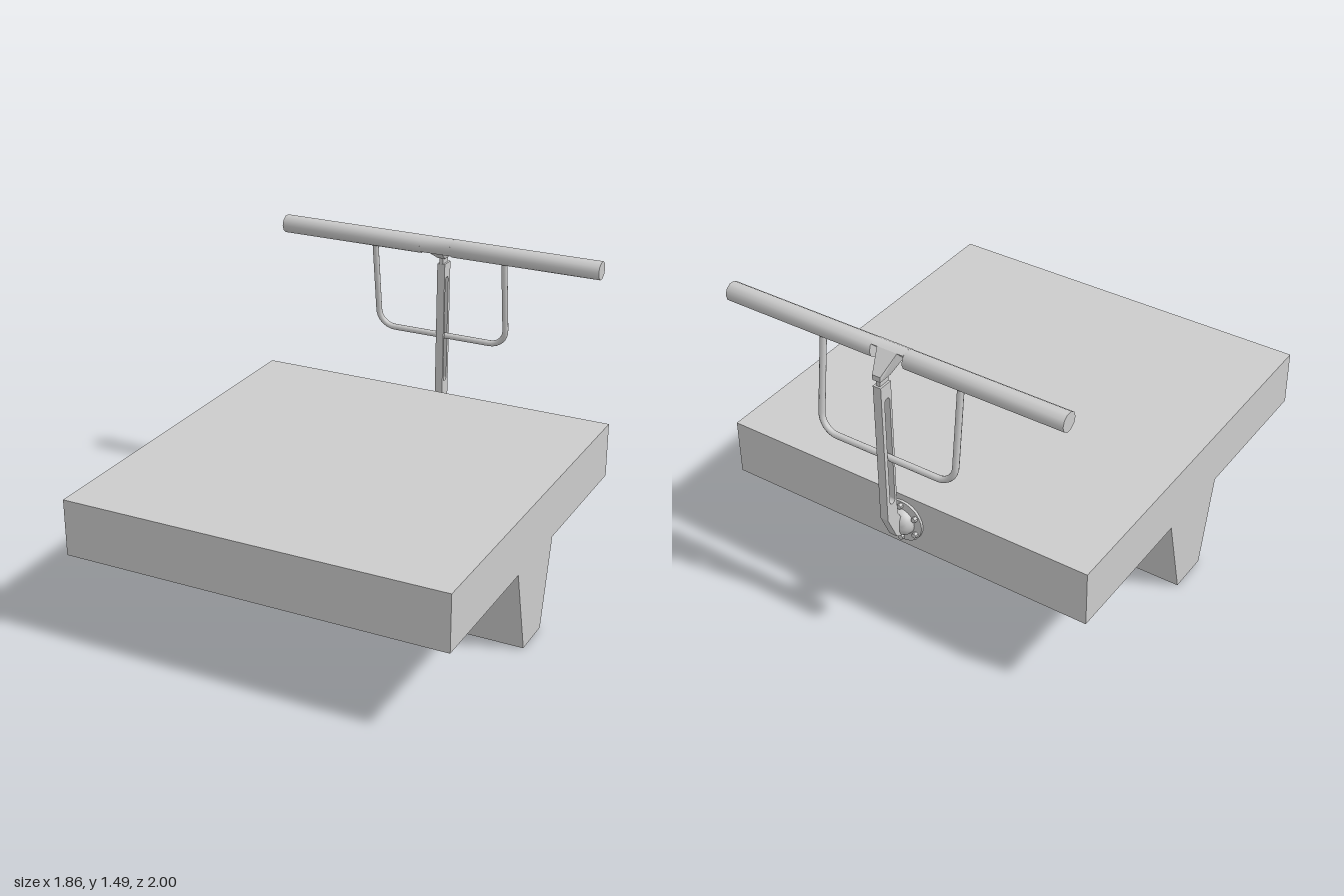
import * as THREE from 'three';
import { toCreasedNormals } from 'three/addons/utils/BufferGeometryUtils.js';
import { ConvexGeometry } from 'three/addons/geometries/ConvexGeometry.js';

const material = new THREE.MeshStandardMaterial({ color: 0xcccccc });

function add(parent, name, geometry, x = 0, y = 0, z = 0) {
  const mesh = new THREE.Mesh(geometry, material);
  mesh.name = name;
  mesh.position.set(x, y, z);
  parent.add(mesh);
  return mesh;
}

const points = (list) => list.map(([a, b]) => new THREE.Vector2(a, b));

// Extrudes a side profile of [z, y] points along x, centred on x = 0
function sideExtrude(profile, width, holes = []) {
  const shape = new THREE.Shape(points(profile));
  shape.holes.push(...holes);
  const geometry = new THREE.ExtrudeGeometry(shape, { depth: width, bevelEnabled: false, curveSegments: 6 });
  return geometry.translate(0, 0, -width / 2).rotateY(-Math.PI / 2);
}

export function createModel() {
  const model = new THREE.Group();
  model.name = 'mountedHandle';

  // T-shaped base: slab with a tapering rib underneath
  add(model, 'slabWithRib', sideExtrude([
    [1, 0.422], [1, 0.695], [-0.868, 0.695], [-0.868, 0.422],
    [-0.14, 0.422], [-0.035, 0], [0.168, 0], [0.272, 0.422],
  ], 1.86));

  // Round mounting flange with a domed hub, facing backwards
  const mount = new THREE.Group();
  mount.name = 'flangeMount';
  mount.position.set(0, 0.56, -0.866);
  model.add(mount);
  const flange = new THREE.LatheGeometry(points([
    [0, 0], [0.105, 0], [0.105, 0.014], [0.068, 0.016],
    [0.064, 0.032], [0.053, 0.048], [0.035, 0.058], [0, 0.062],
  ]), 24).rotateX(-Math.PI / 2);
  add(mount, 'flange', toCreasedNormals(flange, 0.6));
  for (let i = 0; i < 6; i++) {
    const a = (i + 0.5) * Math.PI / 3;
    const bolt = new THREE.CylinderGeometry(0.013, 0.013, 0.018, 6).rotateX(Math.PI / 2);
    add(mount, 'flangeBolt', toCreasedNormals(bolt, 0.5), 0.086 * Math.cos(a), 0.086 * Math.sin(a), -0.022);
  }

  // Upright post with a bent foot and a long rounded slot
  const slot = new THREE.Path();
  const r = 0.017, mid = -0.962, low = 0.738, high = 1.257;
  slot.moveTo(mid - r, low);
  slot.lineTo(mid - r, high);
  slot.absarc(mid, high, r, Math.PI, 0, true);
  slot.lineTo(mid + r, low);
  slot.absarc(mid, low, r, 0, -Math.PI, true);
  add(model, 'slottedPost', sideExtrude([
    [-0.932, 1.345], [-1, 1.345], [-1, 0.65], [-0.945, 0.525],
    [-0.91, 0.505], [-0.895, 0.56], [-0.91, 0.61], [-0.932, 0.65],
  ], 0.04, [slot]));
  add(model, 'postNeck', new THREE.BoxGeometry(0.02, 0.04, 0.058), 0, 1.36, -0.962);

  // Flared bracket from the neck to the bar
  const bracket = [];
  for (const s of [-1, 1]) {
    for (const [x, y, z] of [
      [0.05, 1.483, -0.922], [0.035, 1.42, -0.86], [0.033, 1.415, -0.915],
      [0.02, 1.4, -1], [0.02, 1.375, -1], [0.02, 1.375, -0.932],
    ]) bracket.push(new THREE.Vector3(s * x, y, z));
  }
  add(model, 'barBracket', new ConvexGeometry(bracket));

  // Grab bar: two full lengths joined by a half-round centre
  const barY = 1.45, barZ = -0.89, barR = 0.045;
  for (const s of [-1, 1]) {
    const bar = new THREE.CylinderGeometry(barR, barR, 0.76, 10).rotateZ(Math.PI / 2);
    add(model, 'grabBar', toCreasedNormals(bar, 0.9), s * 0.46, barY, barZ);
  }
  const half = [];
  for (let i = 0; i <= 6; i++) {
    const a = -Math.PI / 4 + i * Math.PI / 6;
    half.push([barR * Math.cos(a), barR * Math.sin(a)]);
  }
  add(model, 'grabBarCentre', toCreasedNormals(sideExtrude(half, 0.16), 0.9), 0, barY, barZ);

  // U-shaped rod hanging from the bar and passing through the slot
  const topY = 1.43, bottomY = 0.965, w = 0.345, c = 0.085;
  const at = (x, y) => new THREE.Vector3(x, y, THREE.MathUtils.mapLinear(y, bottomY, topY, -0.96, -0.9));
  const path = new THREE.CurvePath();
  path.add(new THREE.LineCurve3(at(-w, topY), at(-w, bottomY + c)));
  const corner = (sx, from, to) => {
    const k = 0.448 * c;
    const side = at(sx * w, bottomY + k), base = at(sx * (w - k), bottomY);
    path.add(sx < 0
      ? new THREE.CubicBezierCurve3(from, side, base, to)
      : new THREE.CubicBezierCurve3(from, base, side, to));
  };
  corner(-1, at(-w, bottomY + c), at(-w + c, bottomY));
  path.add(new THREE.LineCurve3(at(-w + c, bottomY), at(w - c, bottomY)));
  corner(1, at(w - c, bottomY), at(w, bottomY + c));
  path.add(new THREE.LineCurve3(at(w, bottomY + c), at(w, topY)));
  add(model, 'hangingLoop', new THREE.TubeGeometry(path, 90, 0.015, 10, false));

  return model;
}
